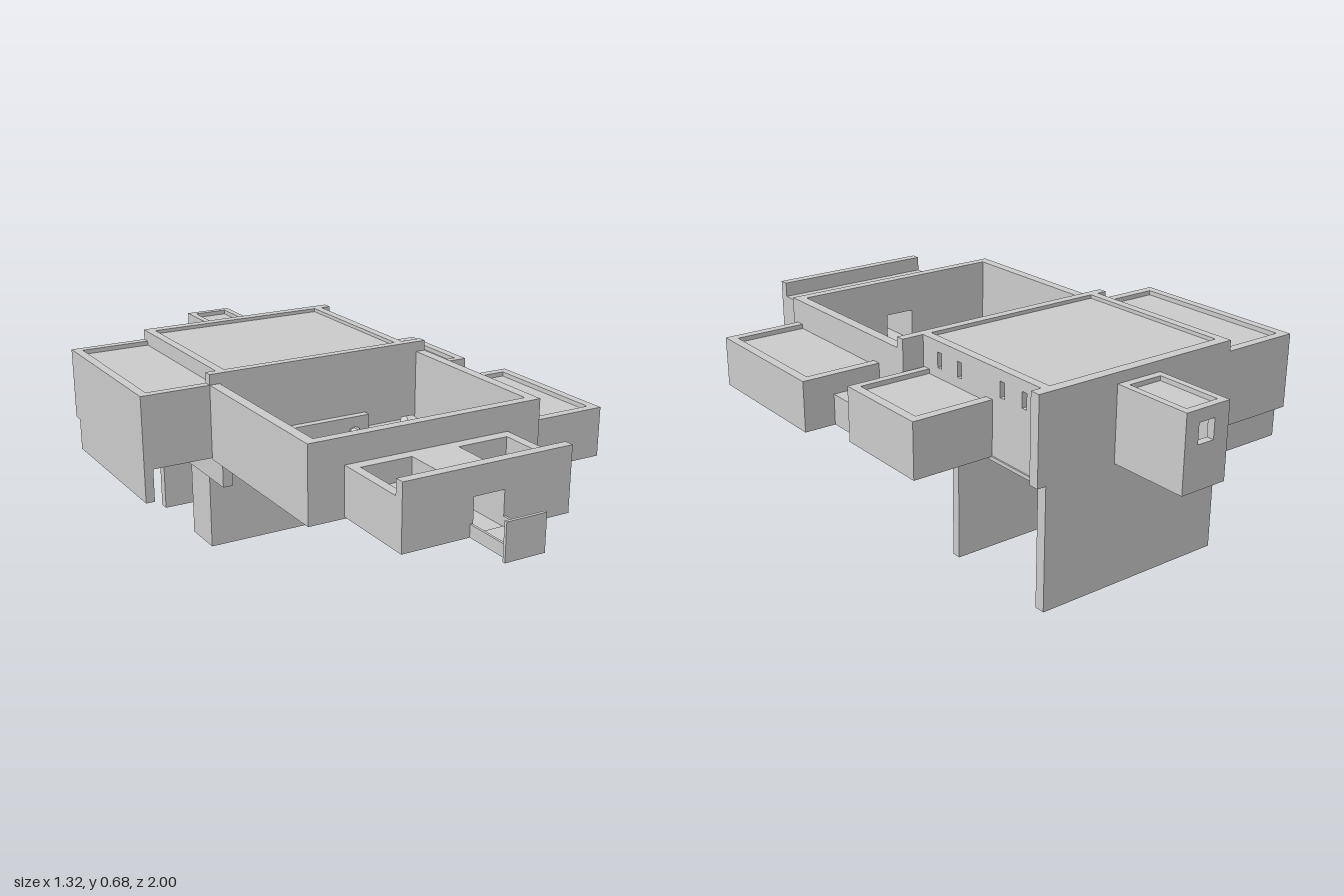
import * as THREE from 'three';

const mat = new THREE.MeshStandardMaterial({ color: 0xcccccc, flatShading: true, side: THREE.DoubleSide });

function rect(C, a0, b0, a1, b1) {
  const s = new C();
  s.moveTo(a0, b0);
  s.lineTo(a1, b0);
  s.lineTo(a1, b1);
  s.lineTo(a0, b1);
  s.closePath();
  return s;
}

export function createModel() {
  const root = new THREE.Group();

  const add = (name, geo, parent = root) => {
    const m = new THREE.Mesh(geo, mat);
    m.name = name;
    parent.add(m);
    return m;
  };

  const box = (name, x0, x1, y0, y1, z0, z1, parent) => add(name,
    new THREE.BoxGeometry(x1 - x0, y1 - y0, z1 - z0).translate((x0 + x1) / 2, (y0 + y1) / 2, (z0 + z1) / 2), parent);

  const extrude = (shape, depth) => new THREE.ExtrudeGeometry(shape, { depth, bevelEnabled: false });

  // Plan outline [x0, x1, z0, z1] with a rectangular hole, raised from y0 to y1
  const ring = (name, o, i, y0, y1, parent) => {
    const s = rect(THREE.Shape, o[0], -o[3], o[1], -o[2]);
    s.holes.push(rect(THREE.Path, i[0], -i[3], i[1], -i[2]));
    return add(name, extrude(s, y1 - y0).rotateX(-Math.PI / 2).translate(0, y0, 0), parent);
  };

  // Upright wall across x with a doorway open at its foot
  const doorWall = (name, x0, x1, y1, z0, z1, parent) => {
    const s = new THREE.Shape();
    [[x0, 0.4], [-0.07, 0.4], [-0.07, 0.52], [0.035, 0.52], [0.035, 0.4], [x1, 0.4], [x1, y1], [x0, y1]]
      .forEach(([x, y], k) => (k ? s.lineTo(x, y) : s.moveTo(x, y)));
    s.closePath();
    return add(name, extrude(s, z1 - z0).translate(0, 0, z0), parent);
  };

  // Room with a parapet around a slightly sunken roof
  const room = (name, o, i, y1) => {
    const g = new THREE.Group();
    g.name = name;
    root.add(g);
    ring('walls', o, i, 0.4, y1, g);
    box('roof', i[0], i[1], y1 - 0.03, y1 - 0.015, i[2], i[3], g);
    box('floor', i[0], i[1], 0.4, 0.41, i[2], i[3], g);
  };

  // Side rooms
  room('westRoom', [-0.66, -0.385, -0.73, -0.105], [-0.63, -0.39, -0.7, -0.135], 0.645);
  room('eastBackRoom', [0.31, 0.59, -0.48, -0.14], [0.315, 0.56, -0.45, -0.165], 0.578);
  room('eastFrontRoom', [0.38, 0.66, 0, 0.505], [0.385, 0.63, 0.03, 0.475], 0.565);
  box('eastConnector', 0.44, 0.555, 0.4, 0.5, -0.14, 0);

  // Open courtyard
  const court = new THREE.Group();
  court.name = 'courtyard';
  root.add(court);
  box('floor', -0.425, 0.39, 0.395, 0.408, -0.11, 0.532, court);
  box('leftWall', 0.355, 0.39, 0.4, 0.645, -0.105, 0.532, court);
  box('rightWall', -0.425, -0.39, 0.4, 0.645, -0.105, 0.532, court);
  doorWall('frontWall', -0.39, 0.355, 0.645, 0.5, 0.532, court);

  // Great hall with slit windows on one side
  const hall = new THREE.Group();
  hall.name = 'hall';
  root.add(hall);
  box('frontWall', -0.425, 0.39, 0.4, 0.68, -0.135, -0.105, hall);
  box('backWall', -0.39, 0.35, 0.4, 0.68, -0.73, -0.695, hall);
  box('rightWall', -0.39, -0.36, 0.4, 0.68, -0.695, -0.135, hall);
  const side = rect(THREE.Shape, 0.135, 0.4, 0.695, 0.68);
  for (const z of [0.22, 0.32, 0.525, 0.625]) side.holes.push(rect(THREE.Path, z - 0.01, 0.595, z + 0.01, 0.645));
  add('windowWall', extrude(side, 0.03).rotateY(Math.PI / 2).translate(0.285, 0, 0), hall);
  box('roof', -0.36, 0.285, 0.65, 0.668, -0.695, -0.135, hall);
  box('floor', -0.39, 0.32, 0.39, 0.402, -0.73, -0.11, hall);

  // Back tower: open below, one square window
  const tower = new THREE.Group();
  tower.name = 'backTower';
  root.add(tower);
  box('leftWall', 0.042, 0.065, 0.4, 0.645, -1, -0.73, tower);
  box('rightWall', -0.1, -0.077, 0.4, 0.645, -1, -0.73, tower);
  box('parapet', -0.077, 0.042, 0.61, 0.645, -0.755, -0.73, tower);
  const back = rect(THREE.Shape, -0.077, 0.4, 0.042, 0.645);
  back.holes.push(rect(THREE.Path, -0.045, 0.54, 0.015, 0.605));
  add('windowWall', extrude(back, 0.025).translate(0, 0, -1), tower);
  box('roof', -0.077, 0.042, 0.615, 0.63, -0.975, -0.755, tower);

  // Lower storey: tall walls under the hall
  box('lowerBackWall', -0.355, 0.32, 0, 0.4, -0.73, -0.695);
  box('lowerFrontWall', -0.355, 0.32, 0, 0.4, -0.32, -0.29);
  box('lowerReturnWall', -0.355, -0.325, 0, 0.4, -0.44, -0.32);

  // Skirt walls under the west room
  box('skirtOuter', -0.66, -0.63, 0.29, 0.4, -0.695, -0.105);
  box('skirtInner', -0.39, -0.355, 0.29, 0.4, -0.695, -0.105);
  box('skirtBack', -0.63, -0.39, 0.29, 0.4, -0.695, -0.665);

  // Gatehouse: passage between two sunken side bays, with a high front wall
  const gate = new THREE.Group();
  gate.name = 'gatehouse';
  root.add(gate);
  doorWall('passage', -0.1, 0.06, 0.56, 0.532, 0.8, gate);
  doorWall('frontWall', -0.305, 0.27, 0.61, 0.8, 0.832, gate);
  for (const [x0, x1, i0, i1] of [[-0.305, -0.1, -0.275, -0.102], [0.06, 0.27, 0.062, 0.238]]) {
    ring('bayWalls', [x0, x1, 0.532, 0.8], [i0, i1, 0.57, 0.757], 0.4, 0.56, gate);
    box('bayFloor', i0, i1, 0.4, 0.49, 0.57, 0.757, gate);
  }
  box('passageFloor', -0.07, 0.035, 0.395, 0.408, 0.5, 0.832, gate);

  // Bridge with low rails and an end plate
  box('bridgeDeck', -0.08, 0.042, 0.4, 0.41, 0.832, 0.99);
  for (const x of [-0.08, 0.034]) box('bridgeRail', x, x + 0.008, 0.4, 0.44, 0.832, 0.99);
  box('bridgeEndPlate', -0.085, 0.05, 0.39, 0.51, 0.99, 1);

  // Courtyard furnishings
  box('lowWall', -0.165, 0.15, 0.408, 0.46, -0.105, -0.078, court);
  box('screenWall', -0.36, -0.19, 0.408, 0.435, -0.055, -0.025, court);
  box('screenPost', -0.19, -0.175, 0.408, 0.47, -0.105, -0.025, court);
  for (const z of [0.15, 0.25, 0.35]) box('bench', -0.38, -0.33, 0.408, 0.43, z, z + 0.068, court);
  box('centreStone', -0.042, 0.002, 0.408, 0.42, 0.19, 0.235, court);

  // Slabs [x, z, turn]
  [[-0.22, 0.115, -0.2], [0.16, 0.07, -0.2], [-0.155, 0.315, 0.3], [0.09, 0.375, 1.4]].forEach(([x, z, turn]) => {
    const m = add('fallenSlab', new THREE.BoxGeometry(0.045, 0.012, 0.024), court);
    m.position.set(x, 0.414, z);
    m.rotation.y = turn;
  });
  // Rubble [x, z, radius]
  [[0.3, -0.055, 0.034], [0.265, 0.455, 0.034], [0.23, 0.44, 0.02], [-0.1, -0.072, 0.02], [0.09, -0.072, 0.02],
    [-0.13, 0.045, 0.007], [0.05, 0.155, 0.012], [0.2, 0.175, 0.01], [0.195, 0.28, 0.012], [-0.095, 0.435, 0.012],
    [-0.255, 0.47, 0.009], [-0.37, 0.235, 0.014]].forEach(([x, z, r], k) => {
    const m = add('rubble', new THREE.DodecahedronGeometry(r), court);
    m.position.set(x, 0.408 + r * 0.3, z);
    m.scale.y = 0.6;
    m.rotation.y = k;
  });

  return root;
}
